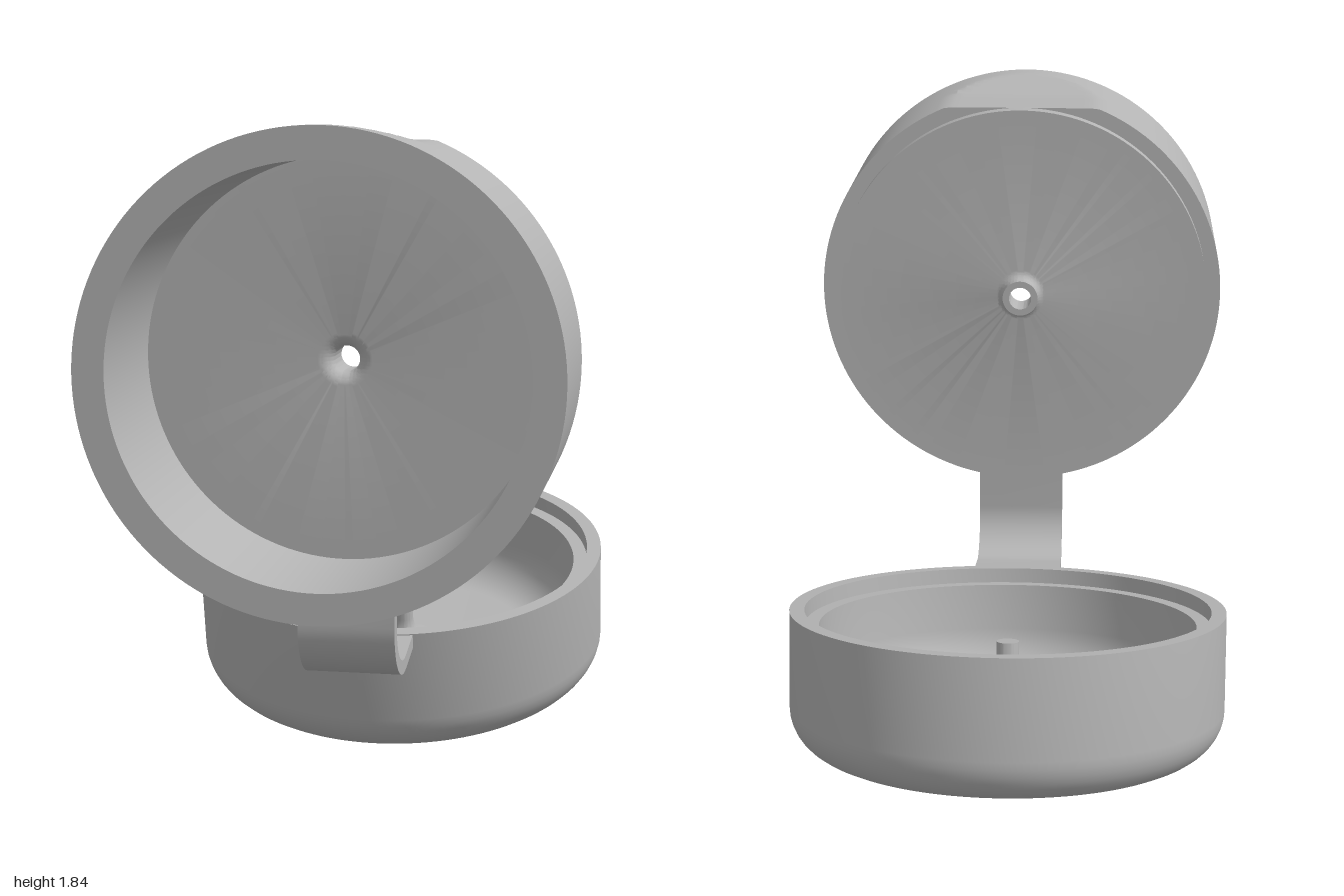
import * as THREE from 'three';
import { toCreasedNormals } from 'three/addons/utils/BufferGeometryUtils.js';

const V = (x, y) => new THREE.Vector2(x, y);

// Points of a circular fillet, from angle a to angle b (degrees)
function fillet(cx, cy, r, a, b, n = 9) {
  return Array.from({ length: n + 1 }, (_, i) => {
    const t = THREE.MathUtils.degToRad(a + (b - a) * i / n);
    return V(cx + r * Math.cos(t), cy + r * Math.sin(t));
  });
}

const lathe = points => new THREE.LatheGeometry(points, 144);
const crease = geometry => toCreasedNormals(geometry, 0.3);

export function createModel() {
  const group = new THREE.Group();
  const grey = new THREE.MeshStandardMaterial({ color: 0xb4b4b4 });
  grey.name = 'grey plastic';

  function add(parent, name, geometry) {
    const mesh = new THREE.Mesh(geometry, grey);
    mesh.name = name;
    parent.add(mesh);
    return mesh;
  }

  // Cap body: hollow cup with a stepped rim and a drilled spout
  const wall = Array.from({ length: 31 }, (_, i) => V(0.63, 0.55 + 0.45 * i / 30));
  const body = lathe([
    V(0.035, 0.46), V(0.055, 0.46),
    ...fillet(0.08, 0.48, 0.025, 180, 90),
    V(0.585, 0.505), V(0.585, 0.55),
    ...wall,
    V(0.545, 1), V(0.545, 0.595),
    ...fillet(0.075, 0.555, 0.04, 90, 180),
    V(0.035, 0.46),
  ]);
  body.rotateX(Math.PI / 2);
  body.translate(0, 1.215, 0);

  // Thumb notch: flatten the top of the wall, sweeping up toward the front
  const pos = body.attributes.position;
  for (let i = 0; i < pos.count; i++) {
    const t = Math.max(0, (pos.getZ(i) - 0.72) / 0.2);
    pos.setY(i, Math.min(pos.getY(i), 1.8 + 0.045 * t * t));
  }
  add(group, 'capBody', crease(body));

  // Lid: tilted open shell with a recessed lip and a sealing pin
  const lid = new THREE.Group();
  lid.name = 'lid';
  lid.position.set(0, 0.5075, -0.3275);
  lid.rotation.x = 0.205;
  group.add(lid);

  add(lid, 'lidShell', crease(lathe([
    V(0, -0.41),
    ...fillet(0.5, -0.28, 0.13, -90, 0),
    V(0.63, 0), V(0.587, 0), V(0.587, -0.045), V(0.545, -0.045),
    ...fillet(0.405, -0.185, 0.14, 0, -90),
    V(0, -0.325),
  ])));

  add(lid, 'sealingPin', crease(lathe([
    V(0.11, -0.325),
    ...fillet(0.11, -0.248, 0.077, 270, 180),
    V(0.033, -0.1), V(0, -0.1),
  ])));

  // Hinge strap: bent strip joining body and lid
  const outer = fillet(0.425, 0.48, 0.17, 0, -101.75, 20);
  const inner = fillet(0.425, 0.48, 0.13, -101.75, 0, 20);
  const strap = new THREE.ExtrudeGeometry(new THREE.Shape([
    V(0.595, 0.63), ...outer, V(0.27, 0.339),
    V(0.27, 0.38), ...inner, V(0.555, 0.63),
  ]), { depth: 0.27, bevelEnabled: false });
  strap.translate(0, 0, -0.135);
  strap.rotateY(-Math.PI / 2);
  add(group, 'hingeStrap', crease(strap));

  return group;
}
